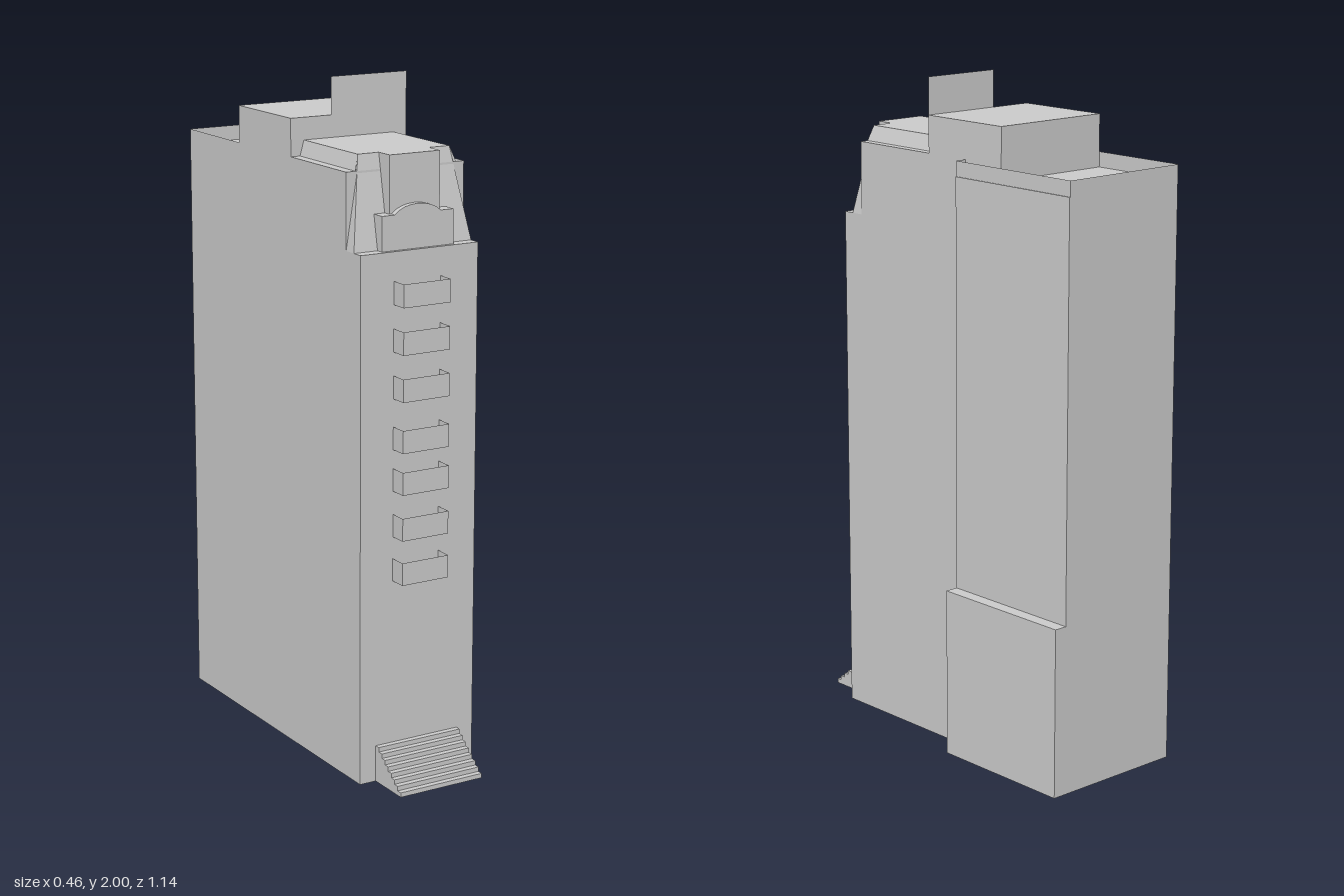
import * as THREE from 'three';

const material = new THREE.MeshStandardMaterial({ color: 0xcccccc, side: THREE.DoubleSide, flatShading: true });

// Plan limits shared by the parts
const L = -0.233, R = 0.153, BACK = -0.573, FRONT = 0.432, STEP = -0.11;
const WING = 0.19, ANNEX = 0.23, SETBACK = 0.355, HALL = 0.048;

// Thin surface made of four-cornered panels
function panels(name, quads) {
  const pos = [];
  for (const [a, b, c, d] of quads) pos.push(...a, ...b, ...c, ...a, ...c, ...d);
  const g = new THREE.BufferGeometry();
  g.setAttribute('position', new THREE.Float32BufferAttribute(pos, 3));
  g.computeVertexNormals();
  const mesh = new THREE.Mesh(g, material);
  mesh.name = name;
  return mesh;
}

// Vertical walls standing on a plan of [x, z] points
function walls(plan, y0, y1, closed = true) {
  const quads = [];
  for (let i = 0; i < plan.length - (closed ? 0 : 1); i++) {
    const [ax, az] = plan[i], [bx, bz] = plan[(i + 1) % plan.length];
    quads.push([[ax, y0, az], [bx, y0, bz], [bx, y1, bz], [ax, y1, az]]);
  }
  return quads;
}

// Horizontal panel and front-facing panel
const floor = (x0, x1, z0, z1, y) => [[x0, y, z1], [x1, y, z1], [x1, y, z0], [x0, y, z0]];
const upright = (x0, x1, y0, y1, z) => [[x0, y0, z], [x1, y0, z], [x1, y1, z], [x0, y1, z]];
const rect = (x0, x1, z0, z1) => [[x0, z1], [x1, z1], [x1, z0], [x0, z0]];

// Body plan with a chosen front face and wing width
const bodyPlan = (front, wing) =>
  [[L, front], [R, front], [R, STEP], [wing, STEP], [wing, BACK], [L, BACK]];

function stairs() {
  const n = 8, x0 = -0.18, x1 = 0.098, rise = 0.11 / n, depth = (0.57 - FRONT) / n;
  const quads = [];
  for (let i = 0; i < n; i++) {
    const z = 0.57 - i * depth, y = i * rise;
    quads.push(upright(x0, x1, y, y + rise, z), floor(x0, x1, z - depth, z, y + rise));
    for (const x of [x0, x1]) {
      quads.push([[x, 0, z], [x, 0, z - depth], [x, y + rise, z - depth], [x, y + rise, z]]);
    }
  }
  return panels('entranceStairs', quads);
}

// Balcony with an open top
function balcony(y) {
  const x0 = -0.125, x1 = 0.028, z1 = 0.485;
  return panels('balcony', [
    floor(x0, x1, FRONT, z1, y),
    ...walls([[x0, FRONT], [x0, z1], [x1, z1], [x1, FRONT]], y, y + 0.067, false),
  ]);
}

// Sloped crown at the front of the roof
function crown() {
  const top = 1.825, mid = 1.78, low = 1.56, zTop = 0.345, zLow = 0.397;
  const quads = [floor(-0.19, 0.11, HALL, zTop, top)];
  quads.push([[L, low, zLow], [R, low, zLow], [0.11, top, zTop], [-0.19, top, zTop]]);
  for (const [outer, eave, ridge] of [[L, -0.203, -0.19], [R, 0.127, 0.11]]) {
    quads.push(
      floor(outer, eave, HALL, SETBACK, mid),
      [[eave, mid, HALL], [eave, mid, SETBACK], [ridge, top, zTop], [ridge, top, HALL]],
      [[outer, low, SETBACK], [outer, low, zLow], [ridge, top, zTop], [eave, mid, SETBACK]],
    );
  }
  return panels('roofCrown', quads);
}

// Low parapet with a curved centre
function archedParapet() {
  const s = new THREE.Shape();
  s.moveTo(-0.157, 1.56);
  s.lineTo(0.078, 1.56);
  s.lineTo(0.078, 1.66);
  s.lineTo(0.035, 1.66);
  s.bezierCurveTo(0.005, 1.695, -0.085, 1.695, -0.115, 1.66);
  s.lineTo(-0.157, 1.66);
  const g = new THREE.ExtrudeGeometry(s, { depth: 0.042, bevelEnabled: false, curveSegments: 8 });
  g.translate(0, 0, 0.378);
  const mesh = new THREE.Mesh(g, material);
  mesh.name = 'archedParapet';
  return mesh;
}

export function createModel() {
  const group = new THREE.Group();
  group.name = 'tower';

  // Hollow body, open underneath
  group.add(panels('body', [
    ...walls(bodyPlan(FRONT, ANNEX), 0, 0.51),
    ...walls(bodyPlan(FRONT, WING), 0.51, 1.56),
    ...walls(bodyPlan(SETBACK, WING), 1.56, 1.735),
    ...walls(bodyPlan(SETBACK, WING - 0.003), 1.735, 1.78),
  ]));
  group.add(panels('annexRoof', [floor(WING, ANNEX, BACK, STEP, 0.51)]));
  group.add(panels('frontLedge', [floor(L, R, SETBACK, FRONT, 1.56)]));

  // Sunken rear roof behind a thin parapet
  group.add(panels('rearRoof', [floor(L, WING, BACK, STEP, 1.735)]));

  // Penthouse with a tall screen wall at its front edge
  group.add(panels('penthouse', [
    ...walls(rect(L, R, -0.26, HALL), 1.735, 1.89),
    floor(L, R, -0.26, HALL, 1.89),
  ]));
  group.add(panels('screenWall', [upright(-0.1, R, 1.825, 2, HALL)]));

  // Front roof
  group.add(crown());
  group.add(panels('crownBay', [
    ...walls(rect(-0.122, 0.043, 0.34, 0.402), 1.56, 1.825),
    floor(-0.122, 0.043, 0.34, 0.402, 1.825),
  ]));
  group.add(archedParapet());

  // Front details
  for (const y of [0.603, 0.735, 0.87, 0.992, 1.14, 1.275, 1.41]) group.add(balcony(y));
  group.add(stairs());
  return group;
}
